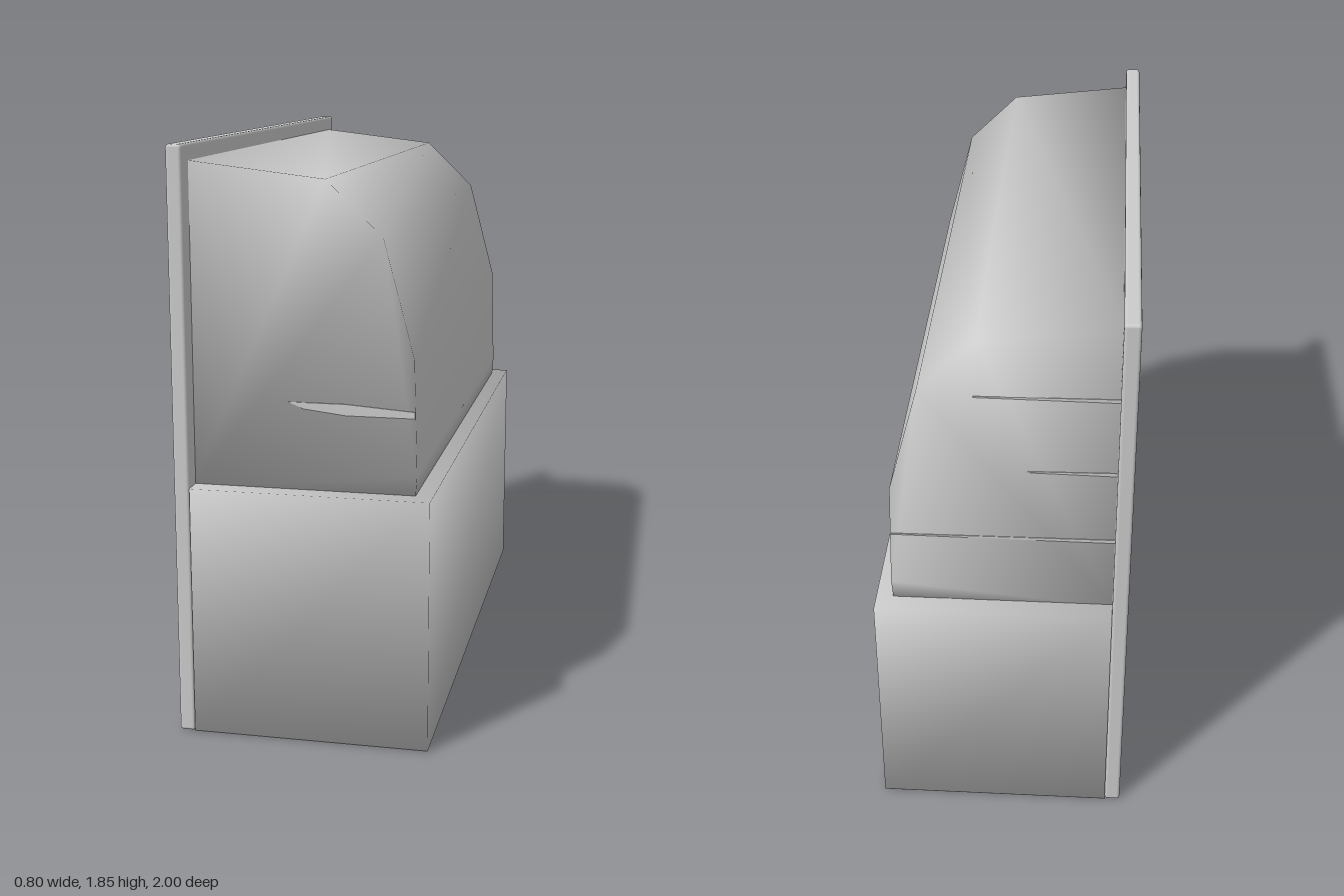
import * as THREE from 'three';
import { mergeVertices } from 'three/addons/utils/BufferGeometryUtils.js';
import { RoundedBoxGeometry } from 'three/addons/geometries/RoundedBoxGeometry.js';

const grey = new THREE.MeshStandardMaterial({ color: 0xcccccc });

// Share corner vertices so that shading runs softly over the edges
function soften(geometry) {
  geometry.deleteAttribute('normal');
  geometry.deleteAttribute('uv');
  geometry.clearGroups();
  const merged = mergeVertices(geometry, 1e-4);
  merged.computeVertexNormals();
  return merged;
}

// Prism along z from an x-y outline, centred on z = 0
function prism(points, depth) {
  const shape = new THREE.Shape(points.map(([x, y]) => new THREE.Vector2(x, y)));
  const geometry = new THREE.ExtrudeGeometry(shape, { depth, bevelEnabled: false });
  return geometry.translate(0, 0, -depth / 2);
}

export function createModel() {
  const model = new THREE.Group();
  const add = (name, geometry, x = 0, y = 0, z = 0) => {
    const mesh = new THREE.Mesh(geometry, grey);
    mesh.name = name;
    mesh.position.set(x, y, z);
    model.add(mesh);
    return mesh;
  };

  // Tall flat back plate
  add('backPlate', new RoundedBoxGeometry(0.05, 1.85, 2, 2, 0.01), -0.375, 0.925, 0);

  // Lower box with a flat floor under it
  add('base', soften(new THREE.BoxGeometry(0.75, 0.798, 2)), 0.025, 0.401, 0);
  add('floor', new THREE.BoxGeometry(0.75, 0.01, 1.998), 0.024, 0.005, 0);

  // Upper hood with a faceted, rounded front
  const hood = [
    [-0.36, 0.79], [0.345, 0.79], [0.35, 0.86], [0.34, 1.22],
    [0.245, 1.58], [0.07, 1.75], [-0.36, 1.8],
  ];
  add('hood', soften(prism(hood, 1.87)));

  // Slim slats lying almost flush in the hood's end faces
  const slat = (x0, x1, y) => prism([
    [x0, y + 0.02], [x0 + 0.05, y], [x0 + 0.18, y - 0.015], [x1, y - 0.015],
    [x1, y + 0.005], [x0 + 0.18, y + 0.02],
  ], 0.02);
  add('frontSlat', slat(-0.05, 0.342, 1.055), 0, 0, 0.928);
  [[0.342, 1.05], [-0.08, 1.3], [0.08, 1.56]].forEach(([x1, y]) => {
    const x0 = -0.35;
    const g = prism([[x0, y - 0.006], [x1, y - 0.002], [x1, y + 0.002], [x0, y + 0.006]], 0.02);
    add('rearSlat', g, 0, 0, -0.927);
  });

  return model;
}
